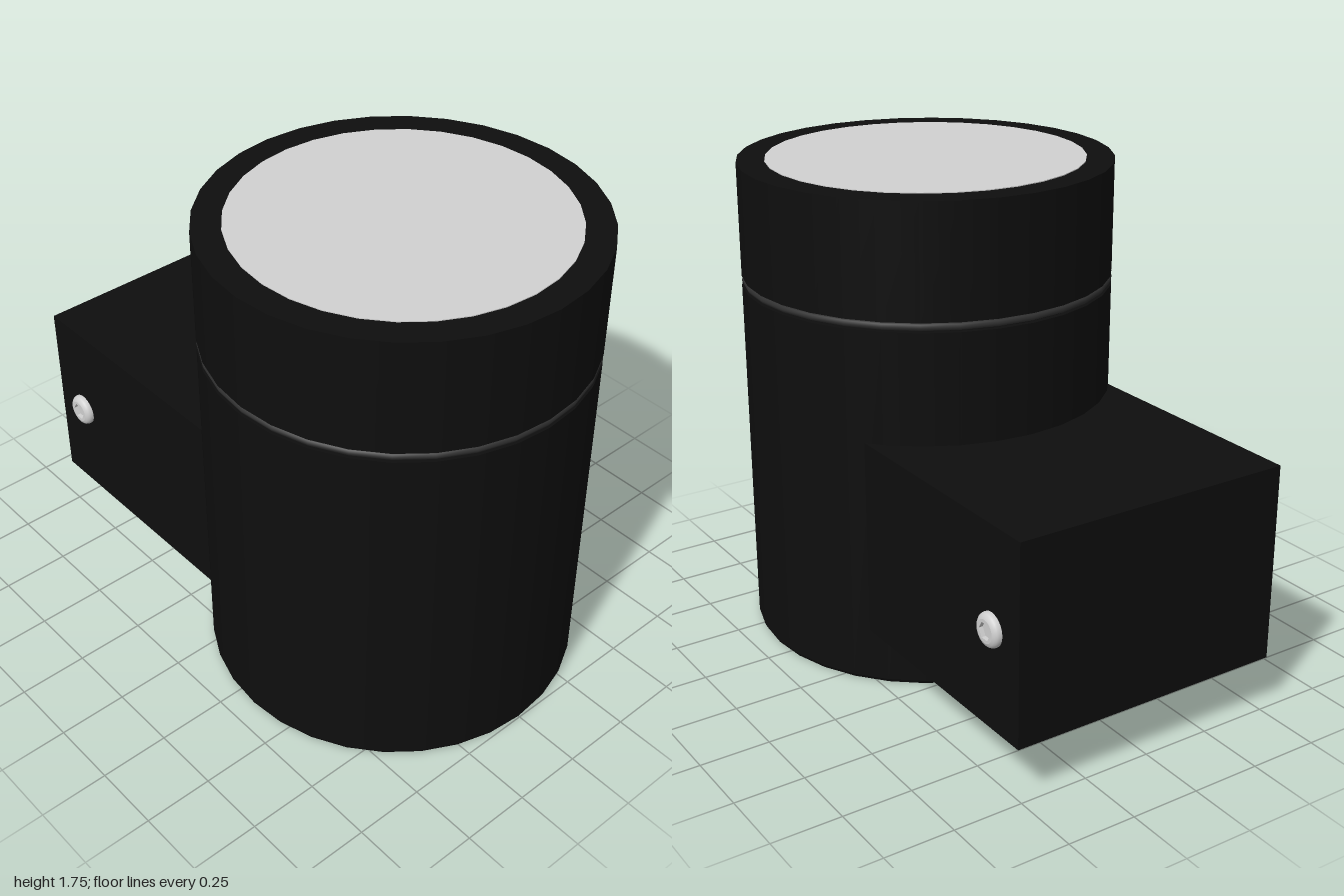
import * as THREE from 'three';

const SIDES = 32, R = 0.667, AXIS_Z = 0.333;

export function createModel() {
  const mat = (name, color) => {
    const m = new THREE.MeshStandardMaterial({ color });
    m.name = name;
    return m;
  };
  const black = mat('black housing', 0x0e0e0e);
  const rubber = mat('dark grey gasket', 0x303030);
  const glass = mat('frosted glass', 0xd2d2d2);
  const steel = mat('steel', 0xd0d0d0);

  const model = new THREE.Group();
  model.name = 'wallLamp';
  const add = (parent, name, geometry, material) => {
    const mesh = new THREE.Mesh(geometry, material);
    mesh.name = name;
    parent.add(mesh);
    return mesh;
  };

  // Cylindrical housing, stacked from bottom to top
  const housing = new THREE.Group();
  housing.name = 'housing';
  housing.position.z = AXIS_Z;
  model.add(housing);
  const drum = (name, rTop, rBottom, y0, y1, material = black) => {
    const g = new THREE.CylinderGeometry(rTop, rBottom, y1 - y0, SIDES);
    add(housing, name, g, material).position.y = (y0 + y1) / 2;
  };
  drum('bottomChamfer', R, R - 0.006, 0, 0.012);
  drum('body', R, R, 0.012, 1.308);
  drum('neck', 0.648, 0.648, 1.308, 1.342);
  drum('cap', R, R, 1.342, 1.747);
  drum('lens', 0.568, 0.568, 1.745, 1.75, glass);

  // Gasket ring seated in the groove
  const gasket = new THREE.TorusGeometry(R - 0.014, 0.0135, 8, SIDES);
  gasket.rotateX(Math.PI / 2);
  gasket.rotateY(Math.PI / 2);
  add(housing, 'gasket', gasket, rubber).position.y = 1.325;

  // Wall bracket running from the back plane into the housing
  const bracket = add(model, 'bracket', new THREE.BoxGeometry(1.03, 0.71, 1.1), black);
  bracket.position.set(0, 0.555, -0.45);

  // Button-head screws with hexagonal sockets, one on each side
  const hex = [];
  for (let i = 0; i < 6; i++) {
    const a = (i * Math.PI) / 3;
    hex.push(new THREE.Vector2(Math.cos(a) * 0.031, Math.sin(a) * 0.031));
  }
  const face = new THREE.Shape().absarc(0, 0, 0.04, 0, Math.PI * 2);
  face.holes.push(new THREE.Path(hex.slice().reverse()));
  const socket = new THREE.ExtrudeGeometry(face, { depth: 0.016, bevelEnabled: false, curveSegments: 24 });
  socket.translate(0, 0, 0.011);
  const dome = new THREE.LatheGeometry(
    [[0.059, 0], [0.059, 0.009], [0.056, 0.017], [0.049, 0.024], [0.04, 0.027]].map(p => new THREE.Vector2(...p)), 24);
  dome.rotateX(Math.PI / 2);
  const floor = new THREE.CircleGeometry(0.04, 24);
  floor.translate(0, 0, 0.012);

  for (const side of [1, -1]) {
    const screw = new THREE.Group();
    screw.name = side > 0 ? 'leftScrew' : 'rightScrew';
    screw.position.set(side * 0.515, 0.555, -0.852);
    screw.rotation.y = (side * Math.PI) / 2;
    add(screw, 'screwDome', dome, steel);
    add(screw, 'screwSocket', socket, steel);
    add(screw, 'socketFloor', floor, steel);
    model.add(screw);
  }
  return model;
}
